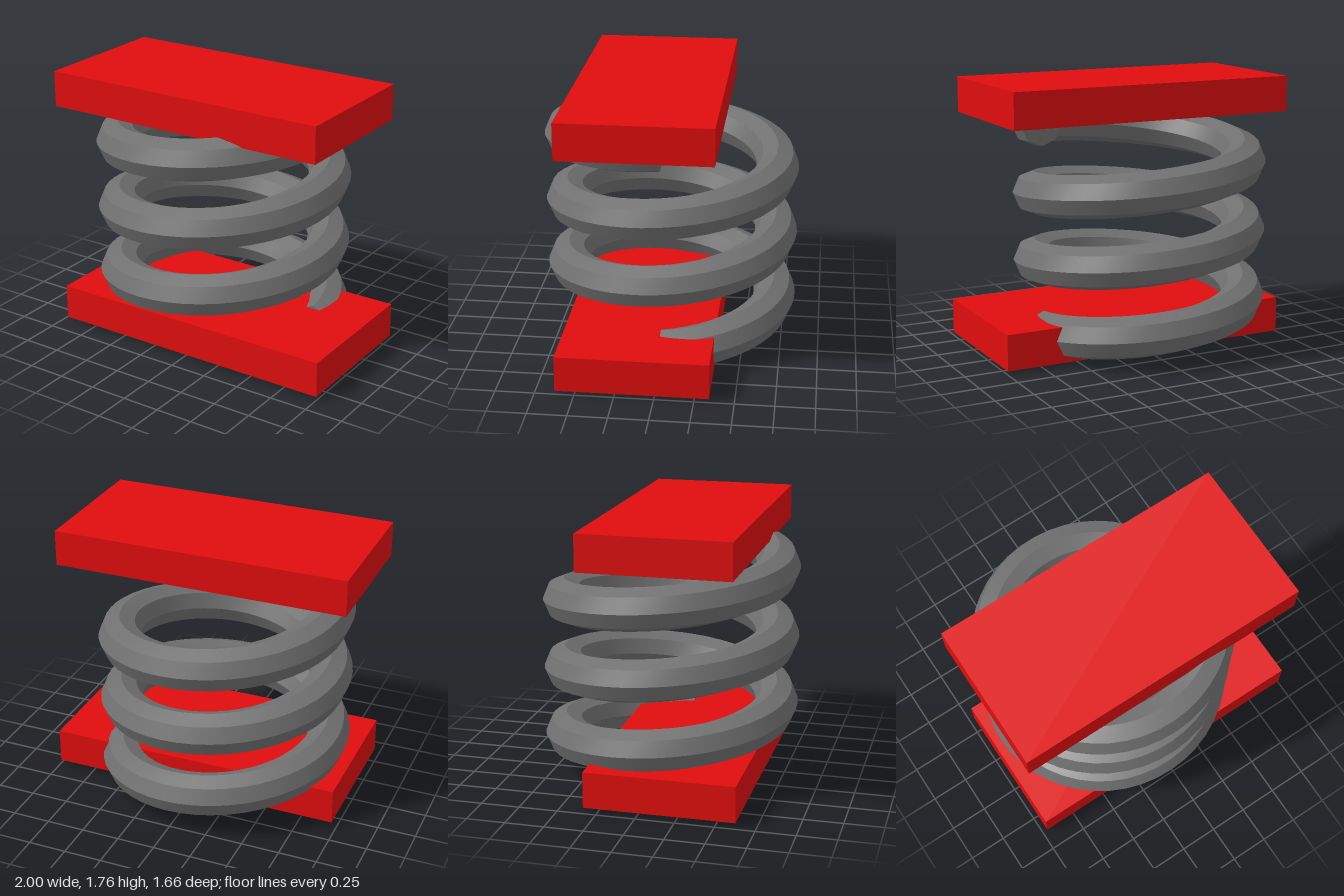
import * as THREE from 'three';
import { toCreasedNormals } from 'three/addons/utils/BufferGeometryUtils.js';

const COIL = { x: -0.09, radius: 0.693, wire: 0.139, turns: 3, bottom: 0.143, pitch: 0.453 };
const SIDES = 8;
const STEPS_PER_TURN = 48;

// Octagonal wire swept along a helix; each section stays in the vertical radial plane.
function coilGeometry() {
  const { x, radius, wire, turns, bottom, pitch } = COIL;
  const steps = turns * STEPS_PER_TURN;
  const positions = [];
  const index = [];

  const addPoint = (i, offset, rise) => {
    const t = (i / STEPS_PER_TURN) * Math.PI * 2;
    const r = radius + offset;
    const y = bottom + (pitch * i) / STEPS_PER_TURN + rise;
    positions.push(x + r * Math.cos(t), y, -r * Math.sin(t));
  };

  for (let i = 0; i <= steps; i++) {
    for (let j = 0; j < SIDES; j++) {
      const a = (j / SIDES) * Math.PI * 2;
      addPoint(i, wire * Math.cos(a), wire * Math.sin(a));
    }
  }
  const startCentre = positions.length / 3;
  addPoint(0, 0, 0);
  addPoint(steps, 0, 0);

  const at = (i, j) => i * SIDES + (j % SIDES);
  for (let j = 0; j < SIDES; j++) {
    for (let i = 0; i < steps; i++) {
      index.push(at(i, j), at(i + 1, j), at(i + 1, j + 1));
      index.push(at(i, j), at(i + 1, j + 1), at(i, j + 1));
    }
    // flat end caps
    index.push(startCentre, at(0, j), at(0, j + 1));
    index.push(startCentre + 1, at(steps, j + 1), at(steps, j));
  }

  const geometry = new THREE.BufferGeometry();
  geometry.setAttribute('position', new THREE.Float32BufferAttribute(positions, 3));
  geometry.setIndex(index);
  return toCreasedNormals(geometry, 0.5);
}

// Box given by its lower and upper corners
function plate(name, min, max, material) {
  const size = max.map((v, k) => v - min[k]);
  const mesh = new THREE.Mesh(new THREE.BoxGeometry(...size), material);
  mesh.position.set(...max.map((v, k) => (v + min[k]) / 2));
  mesh.name = name;
  return mesh;
}

export function createModel() {
  const group = new THREE.Group();
  group.name = 'springWithPlates';

  const red = new THREE.MeshStandardMaterial({ color: 0xe00d0d });
  const steel = new THREE.MeshStandardMaterial({ color: 0x707070 });

  const spring = new THREE.Mesh(coilGeometry(), steel);
  spring.name = 'coilSpring';

  group.add(
    spring,
    plate('bottomPlate', [-0.965, 0.028, -0.343], [1, 0.262, 0.622], red),
    plate('topPlate', [-1, 1.532, -0.359], [0.94, 1.766, 0.597], red)
  );
  return group;
}
